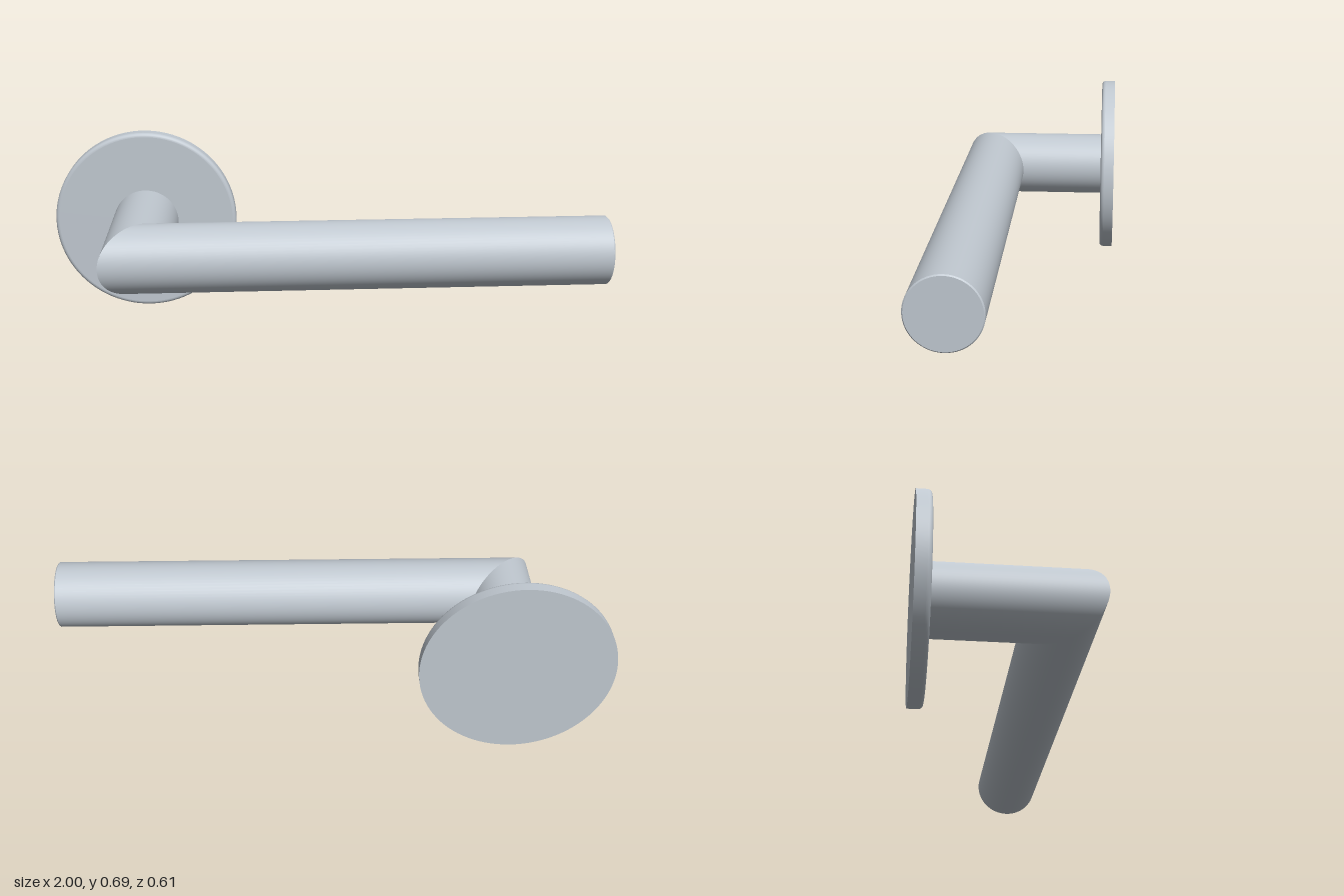
import * as THREE from 'three';

// Lathe with sharp creases: repeated profile points split the normals.
function turned(profile, segments) {
  return new THREE.LatheGeometry(profile.map(([r, y]) => new THREE.Vector2(r, y)), segments);
}

export function createModel() {
  const steel = new THREE.MeshStandardMaterial({ color: 0xc0c8d0 });
  steel.name = 'satin steel';

  const group = new THREE.Group();
  group.name = 'doorHandle';
  const add = (name, geometry) => {
    const mesh = new THREE.Mesh(geometry, steel);
    mesh.name = name;
    group.add(mesh);
  };

  const axisX = -0.657, axisY = 0.343, gripZ = 0.183; // where neck and grip axes meet
  const R = 0.343, r = 0.122;
  const backZ = -0.305, thick = 0.051, round = 0.014;

  // Round wall plate with a softened front edge
  const plate = [[0, 0], [R, 0], [R, 0], [R, thick - round]];
  for (let i = 0; i <= 6; i++) {
    const a = (i / 6) * Math.PI / 2;
    plate.push([R - round + round * Math.cos(a), thick - round + round * Math.sin(a)]);
  }
  plate.push([R - round, thick], [0, thick]);
  add('wallPlate', turned(plate, 96).rotateX(Math.PI / 2).translate(axisX, axisY, backZ));

  // Neck: its front end is sheared onto the 45 degree mitre
  const neckZ = backZ + thick - 0.005;
  const neck = turned([[r, 0], [r, gripZ - neckZ]], 64)
    .rotateX(Math.PI / 2).translate(axisX, axisY, neckZ);
  const n = neck.attributes.position;
  for (let i = 0; i < n.count; i++) {
    if (n.getZ(i) > 0) n.setZ(i, gripZ - (n.getX(i) - axisX));
  }
  add('neck', neck);

  // Grip: fine bevel at the free end, matching mitre at the neck
  const b = 0.004;
  const grip = turned([[0, 0], [r - b, 0], [r - b, 0], [r, b], [r, b], [r, 1 - axisX]], 64)
    .rotateZ(Math.PI / 2).translate(1, axisY, gripZ);
  const g = grip.attributes.position;
  for (let i = 0; i < g.count; i++) {
    if (g.getX(i) < 0) g.setX(i, axisX - (g.getZ(i) - gripZ));
  }
  add('grip', grip);

  return group;
}
